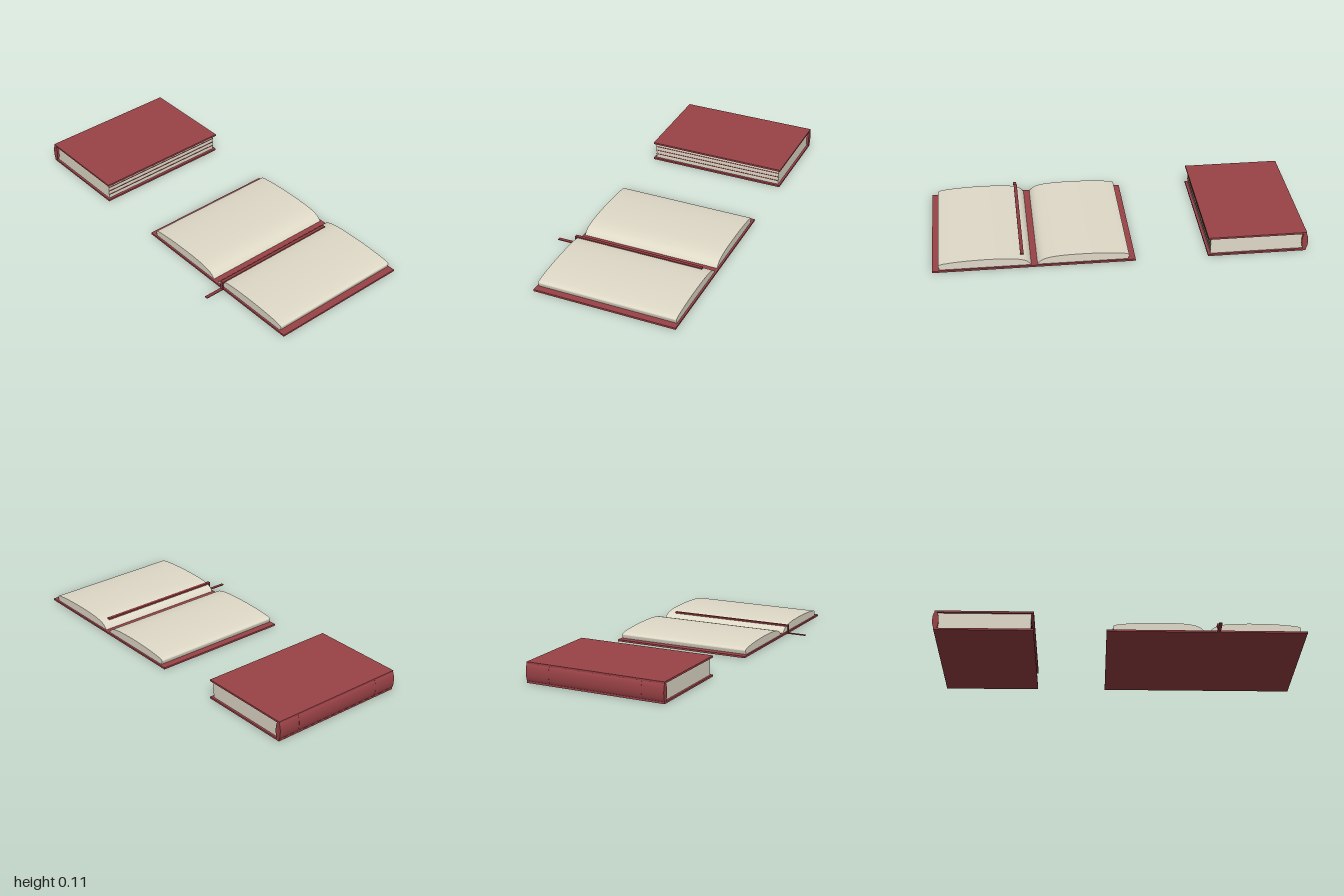
import * as THREE from 'three';
import { toCreasedNormals } from 'three/addons/utils/BufferGeometryUtils.js';

const BACK = -0.45, FRONT = 0.34, MID = (BACK + FRONT) / 2, DEPTH = FRONT - BACK;

export function createModel() {
  const cover = new THREE.MeshStandardMaterial({ color: 0x9a4246 });
  cover.name = 'red cover';
  const paper = new THREE.MeshStandardMaterial({ color: 0xe0dac8 });
  paper.name = 'cream paper';
  const ribbonRed = new THREE.MeshStandardMaterial({ color: 0x8e3a3e });
  ribbonRed.name = 'ribbon red';

  const add = (parent, name, geometry, material) => {
    const mesh = new THREE.Mesh(geometry, material);
    mesh.name = name;
    parent.add(mesh);
    return mesh;
  };
  // Box given by its limits on each axis
  const box = (parent, name, material, [x0, x1], [y0, y1], [z0, z1]) => {
    const mesh = add(parent, name, new THREE.BoxGeometry(x1 - x0, y1 - y0, z1 - z0), material);
    mesh.position.set((x0 + x1) / 2, (y0 + y1) / 2, (z0 + z1) / 2);
    return mesh;
  };

  const model = new THREE.Group();
  model.name = 'books';

  // Closed book: two boards, page block, rounded spine
  const closed = new THREE.Group();
  closed.name = 'closedBook';
  model.add(closed);
  box(closed, 'bottomBoard', cover, [-0.99, -0.46], [0, 0.01], [BACK, FRONT]);
  box(closed, 'topBoard', cover, [-0.99, -0.46], [0.102, 0.112], [BACK, FRONT]);
  box(closed, 'pageBlock', paper, [-0.975, -0.474], [0.01, 0.102], [BACK + 0.012, FRONT - 0.012]);
  const roundBar = (name, length, grow, z) => {
    const bar = add(closed, name, new THREE.CylinderGeometry(1, 1, length, 24).rotateX(Math.PI / 2), cover);
    bar.scale.set(0.017 + grow, 0.051 + grow, 1);
    bar.position.set(-0.982, 0.056, z);
  };
  roundBar('spine', DEPTH, 0, MID);
  for (const z of [-0.32, 0.21]) roundBar('spineBand', 0.012, 0.001, z);

  // Thin lines along the fore-edge of the pages
  for (const y of [0.033, 0.057, 0.081]) {
    box(closed, 'pageLine', ribbonRed, [-0.476, -0.472], [y - 0.002, y + 0.002], [BACK + 0.012, FRONT - 0.012]);
  }

  // Open book: flat cover with two mirrored page halves
  const open = new THREE.Group();
  open.name = 'openBook';
  open.position.x = 0.464;
  model.add(open);
  box(open, 'openCover', cover, [-0.536, 0.536], [0, 0.01], [BACK, FRONT]);

  for (const side of [-1, 1]) {
    const shape = new THREE.Shape();
    shape.moveTo(side * 0.016, 0.009);
    shape.bezierCurveTo(side * 0.035, 0.04, side * 0.06, 0.044, side * 0.1, 0.051);
    shape.bezierCurveTo(side * 0.17, 0.06, side * 0.36, 0.061, side * 0.475, 0.045);
    shape.bezierCurveTo(side * 0.497, 0.041, side * 0.506, 0.038, side * 0.502, 0.026);
    shape.lineTo(side * 0.496, 0.009);
    shape.closePath();
    const pages = new THREE.ExtrudeGeometry(shape, { depth: DEPTH - 0.02, bevelEnabled: false, curveSegments: 10 });
    pages.translate(0, 0, BACK + 0.01);
    add(open, side < 0 ? 'rightPages' : 'leftPages', toCreasedNormals(pages, 0.6), paper);
  }

  // Bookmark ribbon: along the page, over the front edge, out on the ground
  const ribbon = new THREE.Group();
  ribbon.name = 'bookmarkRibbon';
  model.add(ribbon);
  const width = [0.517, 0.535];
  box(ribbon, 'ribbonTop', ribbonRed, width, [0.042, 0.051], [-0.39, 0.344]);
  box(ribbon, 'ribbonDrop', ribbonRed, width, [0, 0.051], [0.34, 0.344]);
  box(ribbon, 'ribbonTail', ribbonRed, width, [0, 0.004], [0.34, 0.45]);

  return model;
}
